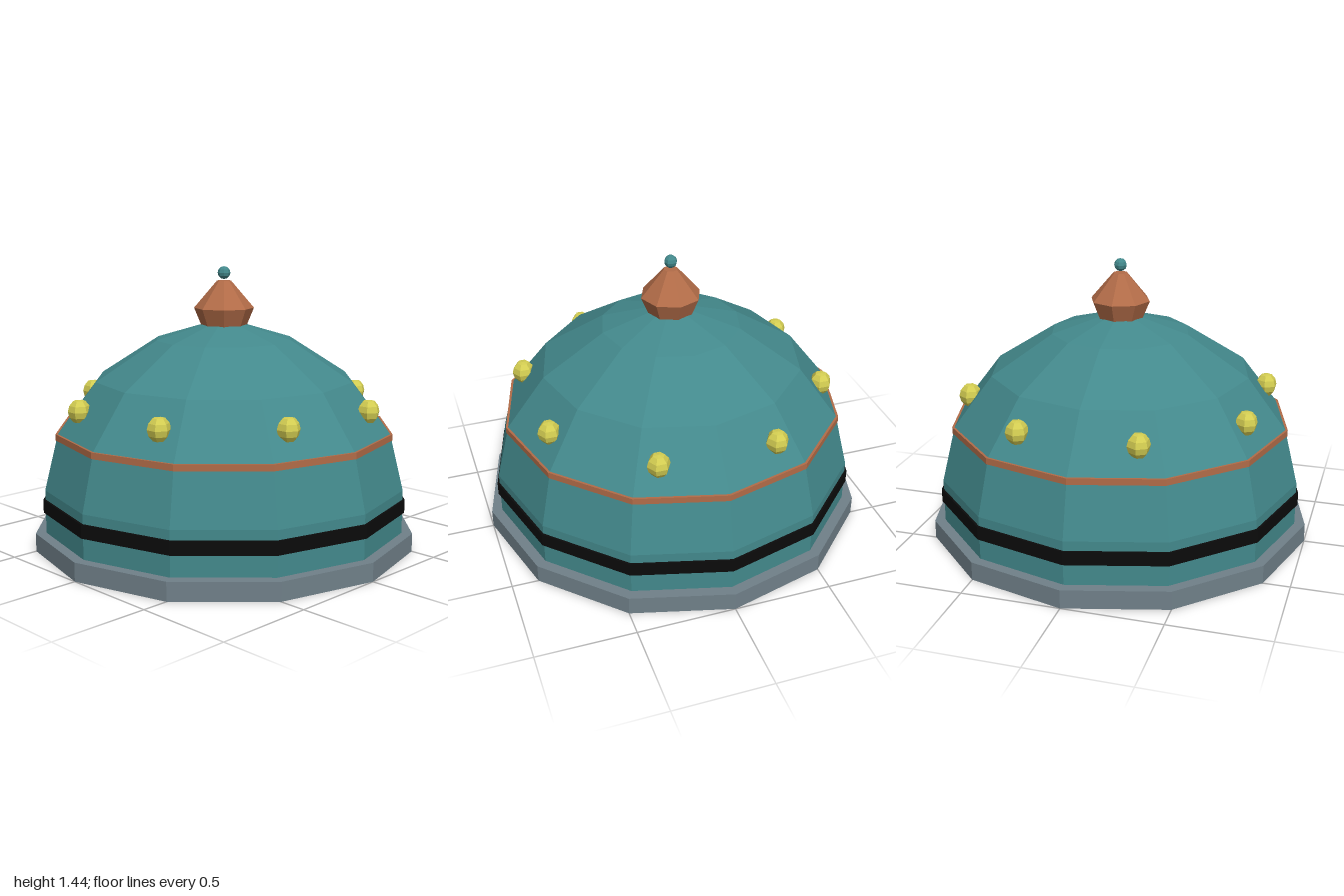
import * as THREE from 'three';

const SIDES = 12;

function flatMaterial(name, color) {
  const m = new THREE.MeshStandardMaterial({ color, flatShading: true });
  m.name = name;
  return m;
}

// Faceted solid of revolution; profile runs from bottom to top as [radius, y]
function lathe(name, profile, sides, material) {
  const points = profile.map(([r, y]) => new THREE.Vector2(r, y));
  const mesh = new THREE.Mesh(new THREE.LatheGeometry(points, sides), material);
  mesh.name = name;
  return mesh;
}

// Closed straight band between two heights
function band(name, radius, y0, y1, material) {
  const mesh = new THREE.Mesh(new THREE.CylinderGeometry(radius, radius, y1 - y0, SIDES), material);
  mesh.position.y = (y0 + y1) / 2;
  mesh.name = name;
  return mesh;
}

export function createModel() {
  const teal = flatMaterial('teal', 0x43898c);
  const slate = flatMaterial('slate grey', 0x708089);
  const black = flatMaterial('black', 0x0b0b0b);
  const copper = flatMaterial('copper', 0xb26c48);
  const gold = flatMaterial('yellow gold', 0xd4ce52);

  const model = new THREE.Group();
  model.name = 'dome';

  // Base plate, wall and dome shell
  model.add(band('basePlate', 1, 0, 0.095, slate));
  model.add(lathe('domeShell', [
    [0.945, 0.09], [0.945, 0.32], [0.873, 0.61], [0.674, 0.868], [0.358, 1.07], [0.11, 1.145], [0, 1.145],
  ], SIDES, teal));

  // Bands round the shell
  model.add(band('blackBand', 0.956, 0.203, 0.272, black));
  model.add(band('copperBand', 0.885, 0.578, 0.61, copper));

  // Ring of studs, all facing the same way
  const studs = new THREE.Group();
  studs.name = 'studs';
  const studProfile = [[0, -0.058], [0.03, -0.054], [0.05, -0.03], [0.058, 0], [0.05, 0.03], [0.03, 0.054], [0, 0.058]];
  for (let i = 0; i < 8; i++) {
    const angle = (i + 0.5) * Math.PI / 4;
    const stud = lathe('stud', studProfile, 6, gold);
    stud.position.set(0.78 * Math.sin(angle), 0.742, 0.78 * Math.cos(angle));
    studs.add(stud);
  }
  model.add(studs);

  // Finial with a small ball on top
  model.add(lathe('finial', [[0, 1.14], [0.118, 1.14], [0.155, 1.23], [0.036, 1.37], [0, 1.37]], 8, copper));
  const ball = new THREE.Mesh(new THREE.SphereGeometry(0.033, 8, 6), teal);
  ball.position.y = 1.41;
  ball.name = 'finialBall';
  model.add(ball);

  return model;
}
